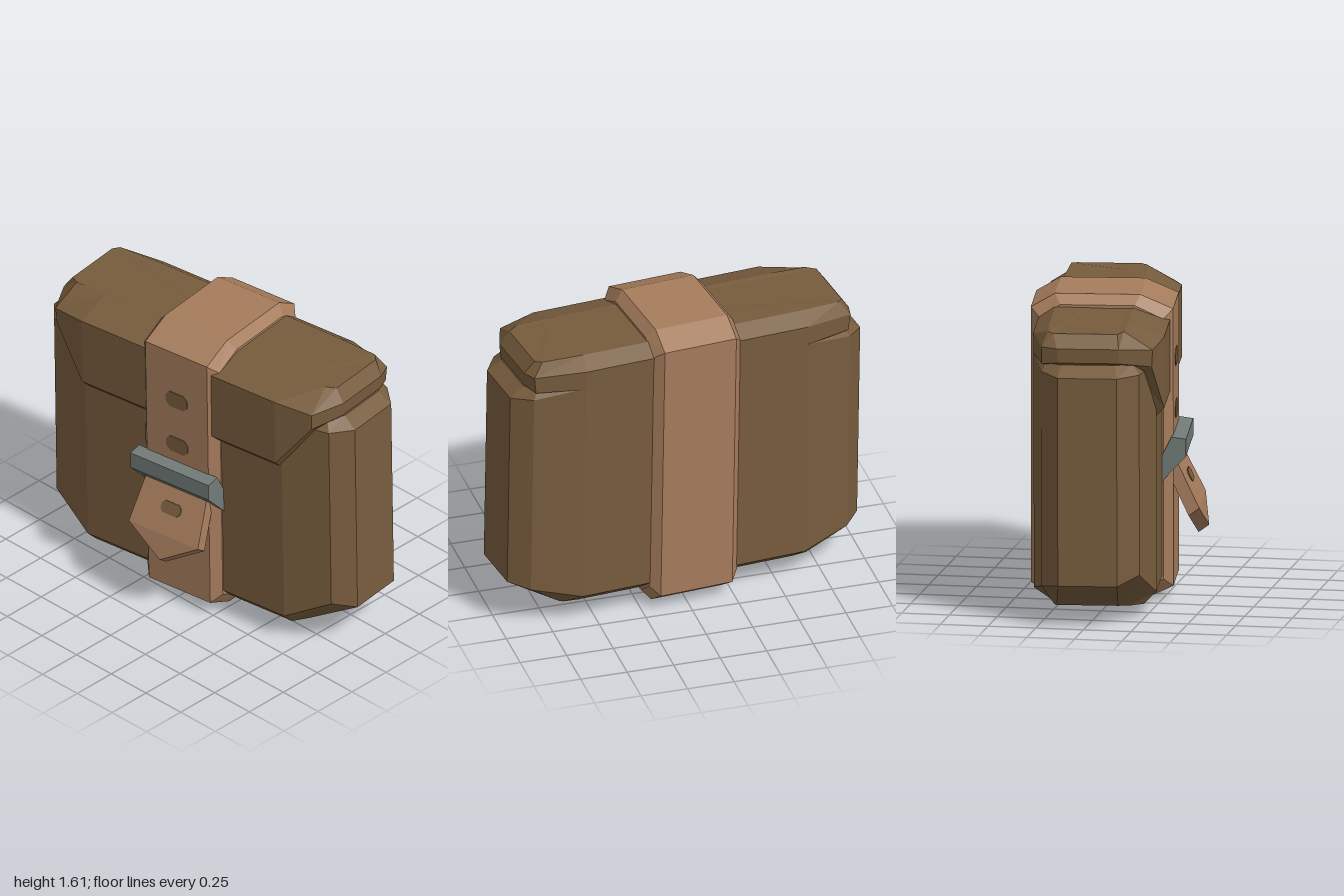
import * as THREE from 'three';

const material = (name, color) => {
  const m = new THREE.MeshStandardMaterial({ color });
  m.name = name;
  return m;
};

// Flat-faced solid through equal-length rings of [x, y, z], capped at both ends
function loft(rings) {
  const pos = [];
  const tri = (a, b, c) => pos.push(...a, ...b, ...c);
  const n = rings[0].length;
  for (let r = 0; r + 1 < rings.length; r++) {
    const a = rings[r], b = rings[r + 1];
    for (let i = 0; i < n; i++) {
      const j = (i + 1) % n;
      tri(a[i], a[j], b[j]);
      tri(a[i], b[j], b[i]);
    }
  }
  const first = rings[0], last = rings[rings.length - 1];
  for (let i = 1; i + 1 < n; i++) {
    tri(first[0], first[i + 1], first[i]);
    tri(last[0], last[i], last[i + 1]);
  }
  const g = new THREE.BufferGeometry();
  g.setAttribute('position', new THREE.Float32BufferAttribute(pos, 3));
  g.computeVertexNormals();
  return g;
}

// Full ring from its +x half, listed front to back
const mirror = (half) => [...half, ...half.slice().reverse().map(([x, y, z]) => [-x, y, z])];

// Side profile of [z, y] placed at x
const profileAt = (x, profile) => profile.map(([z, y]) => [x, y, z]);

// Thin plate with clipped corners
function plate(w, h) {
  const a = w / 2, b = h / 2, c = h * 0.28;
  const s = new THREE.Shape([
    [-a + c, -b], [a - c, -b], [a, -b + c], [a, b - c],
    [a - c, b], [-a + c, b], [-a, b - c], [-a, -b + c],
  ].map((p) => new THREE.Vector2(...p)));
  return new THREE.ExtrudeGeometry(s, { depth: 0.006, bevelEnabled: false });
}

export function createModel() {
  const darkLeather = material('dark leather', 0x775c3d);
  const lightLeather = material('light leather', 0xa67c5c);
  const steel = material('steel', 0x717b78);

  const model = new THREE.Group();
  model.name = 'beltPouch';
  const pouch = new THREE.Group();
  pouch.name = 'pouch';
  pouch.position.x = 0.013;
  pouch.rotation.set(0, 0.115, 0.016); // slightly turned and leaning
  model.add(pouch);

  const add = (name, geometry, mat) => {
    const m = new THREE.Mesh(geometry, mat);
    m.name = name;
    pouch.add(m);
    return m;
  };

  // Pouch body: chamfered base, upright walls, sloped shoulders
  add('body', loft([
    [[0.64, 0.08, 0.17], [0.69, 0.08, 0.1], [0.7, 0.08, 0.04],
      [0.7, 0.08, -0.275], [0.68, 0.08, -0.29], [0.6, 0.08, -0.3]],
    [[0.64, 0.145, 0.235], [0.895, 0.285, 0.165], [0.98, 0.24, 0.055],
      [0.98, 0.24, -0.25], [0.885, 0.22, -0.34], [0.62, 0.155, -0.4]],
    [[0.64, 1.35, 0.235], [0.895, 1.34, 0.165], [0.98, 1.335, 0.055],
      [0.98, 1.335, -0.25], [0.885, 1.35, -0.34], [0.62, 1.39, -0.4]],
    [[0.62, 1.39, 0.2], [0.86, 1.39, 0.13], [0.905, 1.39, 0.04],
      [0.905, 1.39, -0.24], [0.86, 1.39, -0.32], [0.62, 1.395, -0.4]],
  ].map(mirror)), darkLeather);

  // Flap: front panel with a bevelled lip, cut away towards the sides
  add('flap', loft([
    [[0.62, 1.055, 0.22], [0.81, 1.32, 0.15], [0.88, 1.38, 0.04],
      [0.88, 1.38, -0.25], [0.85, 1.38, -0.32], [0.62, 1.38, -0.39]],
    [[0.63, 1.11, 0.275], [0.83, 1.37, 0.225], [0.905, 1.4, 0.06],
      [0.905, 1.4, -0.25], [0.875, 1.39, -0.34], [0.62, 1.39, -0.4]],
    [[0.63, 1.485, 0.275], [0.835, 1.46, 0.23], [0.91, 1.475, 0.06],
      [0.91, 1.475, -0.26], [0.885, 1.48, -0.34], [0.62, 1.495, -0.402]],
    [[0.62, 1.55, 0.09], [0.81, 1.55, 0.08], [0.86, 1.545, 0.05],
      [0.86, 1.545, -0.28], [0.83, 1.55, -0.31], [0.6, 1.55, -0.32]],
  ].map(mirror)), darkLeather);

  // Strap: closed band with bevelled edges
  const band = [[0.29, 1.54], [0.29, 0.08], [0.13, 0.005], [-0.32, 0.005],
    [-0.445, 0.09], [-0.445, 1.54], [-0.32, 1.613], [0.12, 1.613]];
  const inset = band.map(([z, y]) => [
    -0.0775 + (z + 0.0775) * 0.87, 0.809 + (y - 0.809) * 0.938,
  ]);
  add('strap', loft([
    profileAt(-0.245, inset), profileAt(-0.2, band),
    profileAt(0.2, band), profileAt(0.245, inset),
  ]), lightLeather);

  // Buckle: front bar and two slanted sides
  const bar = [[0.36, 0.865], [0.36, 0.775], [0.305, 0.715], [0.285, 0.875]];
  const side = [[0.36, 0.865], [0.36, 0.775], [0.21, 0.615], [0.2, 0.71], [0.285, 0.875]];
  add('buckleBar', loft([profileAt(-0.215, bar), profileAt(0.215, bar)]), steel);
  for (const [name, x] of [['buckleSideRight', -0.235], ['buckleSideLeft', 0.235]]) {
    add(name, loft([profileAt(x - 0.02, side), profileAt(x + 0.02, side)]), steel);
  }

  // Loose strap end: bent, pointed tongue
  const front = [[-0.22, 0.495, 0.425], [0.005, 0.36, 0.46], [0.23, 0.495, 0.425],
    [0.2, 0.75, 0.3], [-0.19, 0.75, 0.3]];
  const back = front.map(([x, y, z]) => [x, y - 0.04, z - 0.055]);
  add('strapEnd', loft([back, front]), lightLeather);

  // Punched holes
  for (const y of [1.25, 0.975]) add('strapHole', plate(0.14, 0.09), darkLeather).position.set(0, y, 0.288);
  const hole = add('strapEndHole', plate(0.125, 0.065), darkLeather);
  hole.position.set(0.01, 0.625, 0.361);
  hole.rotation.x = -Math.atan2(0.125, 0.255);

  return model;
}
